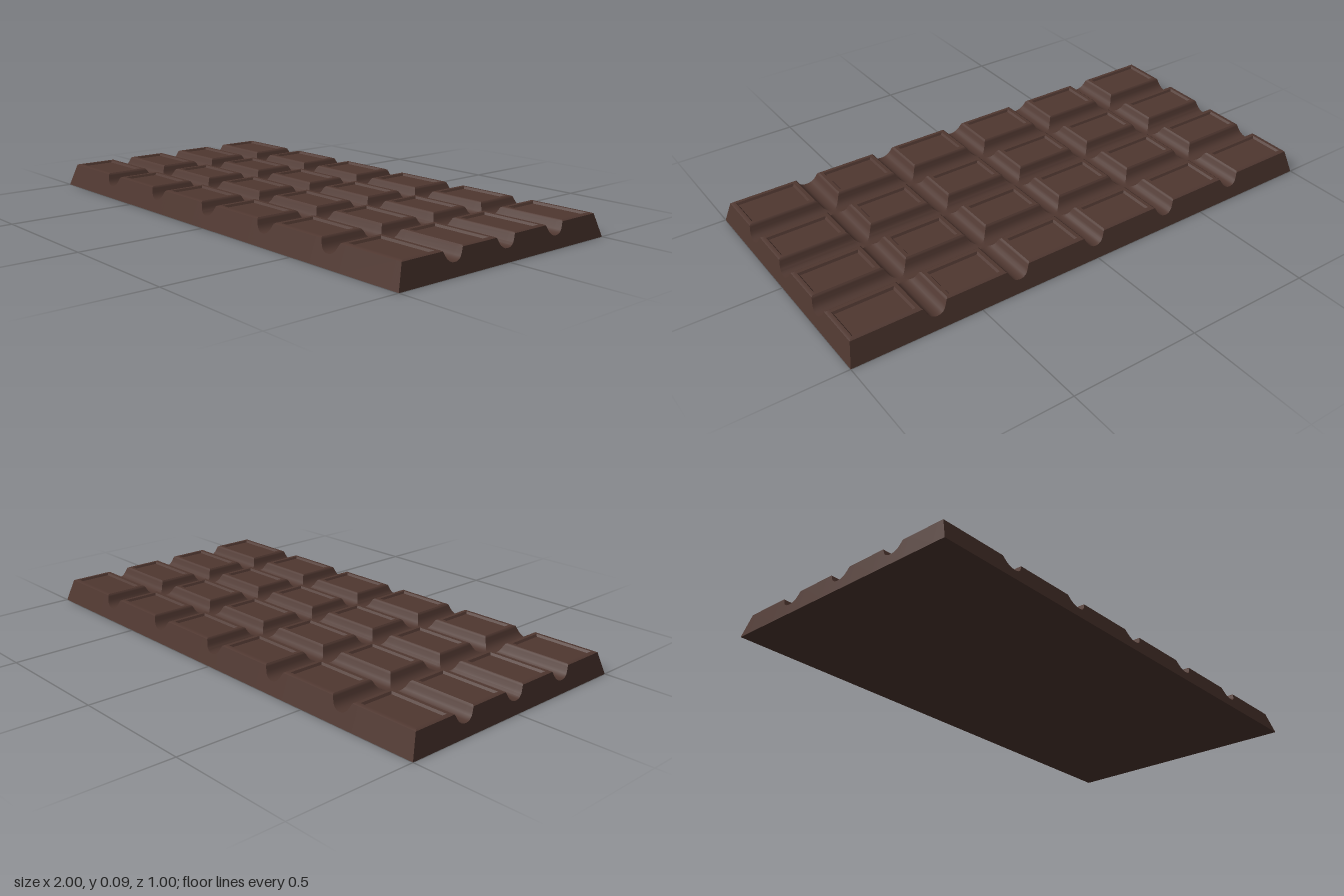
import * as THREE from 'three';
import { toCreasedNormals } from 'three/addons/utils/BufferGeometryUtils.js';

const TOP = 0.088, PANEL_DROP = 0.008;
const HALF_X = 1, HALF_Z = 0.5, TAPER_X = 0.02, TAPER_Z = 0.03;

// half groove section: distance from its centre, height
const GROOVE = [[0, 0.045], [0.012, 0.0465], [0.022, 0.051], [0.03, 0.058],
  [0.036, 0.067], [0.042, 0.08], [0.045, 0.085], [0.05, TOP]];
// recessed panel: distance from groove centre, share of the drop
const RECESS = [[0.064, 0], [0.07, 1]];

// Grid lines across the bar: position, height limit and recess share
function makeLines(half, taper, cells) {
  const pitch = (2 * half) / cells;
  const lines = [];
  for (let c = 1; c < cells; c++) {
    const centre = -half + c * pitch;
    for (const side of [-1, 1]) {
      for (const [d, h] of GROOVE) {
        if (d > 0 || side > 0) lines.push({ p: centre + side * d, h, r: 0 });
      }
      for (const [d, r] of RECESS) lines.push({ p: centre + side * d, h: TOP, r });
    }
  }
  // outer edges: foot of the wall, top of the wall, soft edge, panel rim
  for (const side of [-1, 1]) {
    lines.push({ p: side * (half + 1e-4), h: 0, r: 0, edge: side });
    lines.push({ p: side * half, h: TOP - 0.003, r: 0, edge: side });
    lines.push({ p: side * (half - taper - 0.006), h: TOP, r: 0 });
    lines.push({ p: side * (half - taper - 0.016), h: TOP, r: 0 });
    lines.push({ p: side * (half - taper - 0.022), h: TOP, r: 1 });
  }
  return lines.sort((a, b) => a.p - b.p);
}

// Top and sloping walls as one surface over the crossed grid lines
function makeMoulding() {
  const xs = makeLines(HALF_X, TAPER_X, 6);
  const zs = makeLines(HALF_Z, TAPER_Z, 4);
  const positions = [], index = [];
  const place = (line, y, half, taper) =>
    line.edge ? line.edge * (half - (taper * y) / TOP) : line.p;
  for (const z of zs) {
    for (const x of xs) {
      const y = Math.min(x.h, z.h) - PANEL_DROP * Math.min(x.r, z.r);
      positions.push(place(x, y, HALF_X, TAPER_X), y, place(z, y, HALF_Z, TAPER_Z));
    }
  }
  const n = xs.length;
  const height = (i) => positions[i * 3 + 1];
  for (let j = 0; j < zs.length - 1; j++) {
    for (let i = 0; i < n - 1; i++) {
      const a = j * n + i, b = a + 1, c = a + n, d = c + 1;
      // the diagonal follows the mitre lines
      if (Math.abs(height(a) - height(d)) > Math.abs(height(b) - height(c))) {
        index.push(a, c, d, a, d, b);
      } else {
        index.push(a, c, b, b, c, d);
      }
    }
  }
  const geometry = new THREE.BufferGeometry();
  geometry.setAttribute('position', new THREE.Float32BufferAttribute(positions, 3));
  geometry.setIndex(index);
  return toCreasedNormals(geometry, 0.5);
}

export function createModel() {
  const chocolate = new THREE.MeshStandardMaterial({ color: 0x4f3730 });
  chocolate.name = 'dark chocolate';

  const bar = new THREE.Group();
  bar.name = 'chocolateBar';

  const moulding = new THREE.Mesh(makeMoulding(), chocolate);
  moulding.name = 'mouldedSquares';
  bar.add(moulding);

  // flat underside
  const underside = new THREE.Mesh(
    new THREE.PlaneGeometry(2 * HALF_X, 2 * HALF_Z).rotateX(Math.PI / 2), chocolate);
  underside.name = 'underside';
  bar.add(underside);

  return bar;
}
